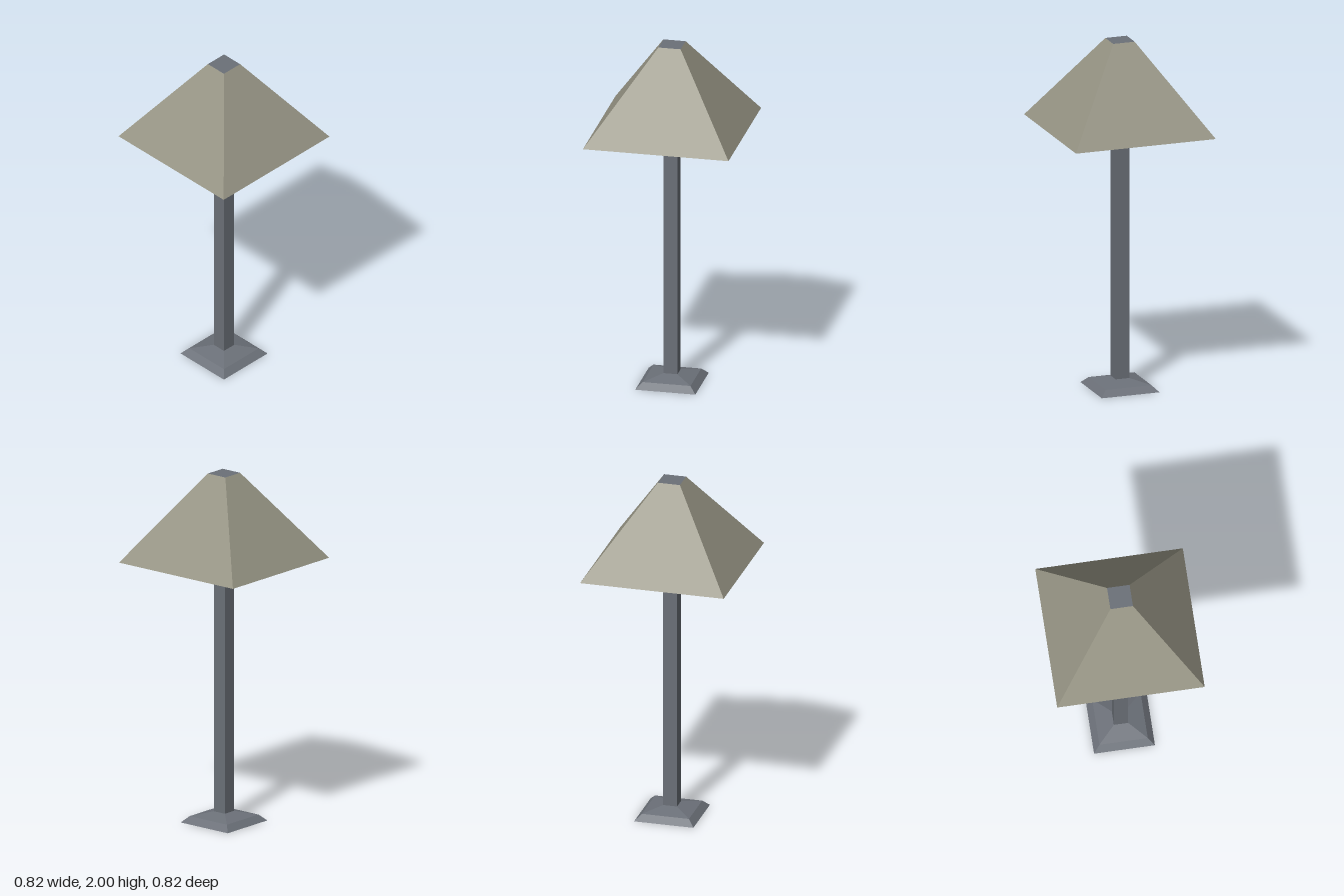
import * as THREE from 'three';

const shadeFabric = new THREE.MeshStandardMaterial({ color: 0x969484, side: THREE.DoubleSide, flatShading: true });
const greyMetal = new THREE.MeshStandardMaterial({ color: 0x6b7078, side: THREE.DoubleSide, flatShading: true });

// Open four-sided tapering band, from half-width h0 at y0 up to h1 at y1
function squareBand(name, material, h0, y0, h1, y1) {
  const geometry = new THREE.CylinderGeometry(h1 * Math.SQRT2, h0 * Math.SQRT2, y1 - y0, 4, 1, true, Math.PI / 4);
  geometry.translate(0, (y0 + y1) / 2, 0);
  const mesh = new THREE.Mesh(geometry, material);
  mesh.name = name;
  return mesh;
}

export function createModel() {
  const lamp = new THREE.Group();
  lamp.name = 'floorLamp';

  // Hollow foot: steep rim and shallow upper slope
  const base = new THREE.Group();
  base.name = 'base';
  base.add(
    squareBand('baseRim', greyMetal, 0.17, 0, 0.135, 0.035),
    squareBand('baseSlope', greyMetal, 0.135, 0.035, 0.04, 0.06)
  );

  // Square hollow post, running up into the shade
  const post = squareBand('post', greyMetal, 0.04, 0.06, 0.04, 1.71);

  // Shade with a shallower sloping underside that meets the post
  const shade = new THREE.Group();
  shade.name = 'shade';
  shade.add(
    squareBand('shadeOuter', shadeFabric, 0.412, 1.5, 0.063, 2),
    squareBand('shadeUnderside', shadeFabric, 0.412, 1.5, 0.04, 1.71)
  );

  // Flat metal cap closing the top
  const cap = new THREE.Mesh(new THREE.PlaneGeometry(0.126, 0.126).rotateX(-Math.PI / 2), greyMetal);
  cap.position.y = 2;
  cap.name = 'topCap';
  shade.add(cap);

  lamp.add(base, post, shade);
  return lamp;
}
